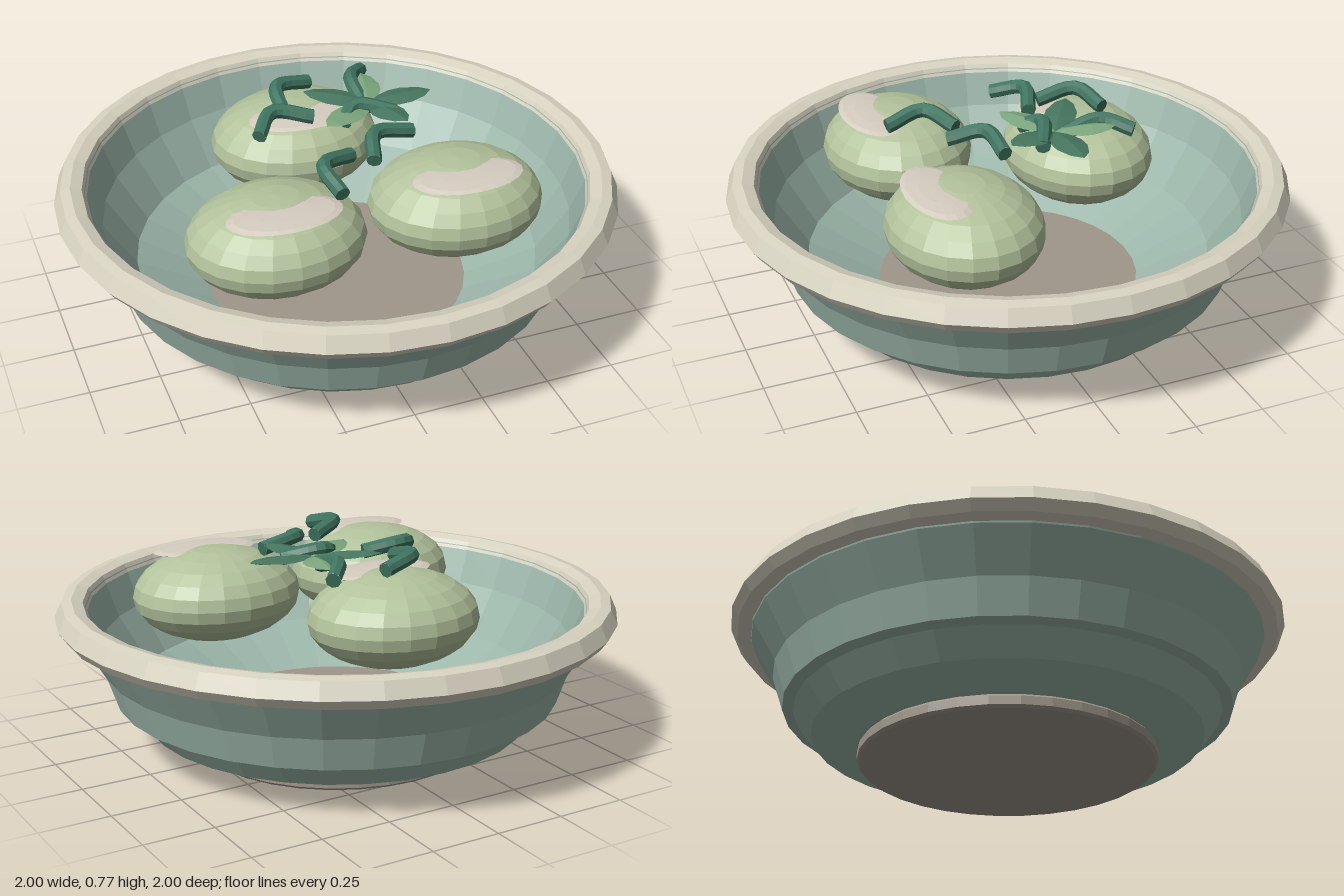
import * as THREE from 'three';

const mat = (name, color, extra = {}) => {
  const m = new THREE.MeshStandardMaterial({ color, flatShading: true, ...extra });
  m.name = name;
  return m;
};

export function createModel() {
  const group = new THREE.Group();
  const glaze = mat('celadonGlaze', 0x9db7ab);
  const cream = mat('creamRim', 0xd8d3c1);
  const clay = mat('bareClay', 0xa0978b);
  const green = mat('paleGreenFruit', 0xb3c39c);
  const bloom = mat('paleBloom', 0xd6cdc0);
  const stemGreen = mat('stemGreen', 0x3f7460);
  const leafDark = mat('darkLeaf', 0x47765f);
  const leafLight = mat('lightLeaf', 0x7ca67e);

  const add = (name, geometry, material, parent = group) => {
    const mesh = new THREE.Mesh(geometry, material);
    mesh.name = name;
    parent.add(mesh);
    return mesh;
  };
  const lathe = (pts, sides) =>
    new THREE.LatheGeometry(pts.map(([r, y]) => new THREE.Vector2(r, y)), sides);

  // Bowl: foot, stepped outer wall, rolled rim, inner wall and floor
  add('foot', lathe([[0, 0], [0.52, 0], [0.53, 0.01], [0.53, 0.04], [0.52, 0.052]], 32), clay);
  add('outerWall', lathe([[0.5, 0.045], [0.535, 0.05], [0.695, 0.095], [0.76, 0.18],
    [0.8, 0.19], [0.84, 0.31], [0.925, 0.45], [0.93, 0.47]], 32), glaze);
  add('rim', lathe([[0.915, 0.455], [0.975, 0.46], [1, 0.495], [0.975, 0.55],
    [0.94, 0.557], [0.9, 0.545], [0.885, 0.515]], 32), cream);
  add('innerWall', lathe([[0.892, 0.53], [0.84, 0.39], [0.73, 0.22], [0.47, 0.095]], 32), glaze);
  add('floorDisc', lathe([[0.475, 0.098], [0, 0.098]], 32), clay);

  // Three flattened fruits, each with a pale patch near the top
  [[-0.33, 0.305], [0.33, 0.295], [-0.055, -0.295]].forEach(([x, z]) => {
    const fruit = new THREE.Group();
    fruit.name = 'fruit';
    fruit.position.set(x, 0.522, z);
    group.add(fruit);
    add('fruitBody', new THREE.SphereGeometry(1, 20, 12).scale(0.312, 0.167, 0.267), green, fruit);
    add('fruitPatch', new THREE.SphereGeometry(1, 20, 6).scale(0.2, 0.014, 0.108), bloom, fruit)
      .position.set(0, 0.145, 0.095);
  });

  // Bent stems: start, bend and end in x, z
  const stems = [
    [-0.135, -0.17, -0.115, -0.31, 0.02, -0.355],
    [0.155, -0.15, 0.16, -0.28, 0.235, -0.375],
    [-0.27, -0.045, -0.19, -0.14, -0.05, -0.1],
    [0.045, 0.245, 0.095, 0.125, 0.24, 0.11],
    [-0.13, 0.405, -0.145, 0.265, -0.02, 0.19],
    [0.04, -0.03, 0.1, -0.085, 0.24, -0.03],
  ];
  stems.forEach(([x0, z0, x1, z1, x2, z2]) => {
    const path = new THREE.CatmullRomCurve3([
      new THREE.Vector3(x0, 0.705, z0),
      new THREE.Vector3(x1, 0.738, z1),
      new THREE.Vector3(x2, 0.712, z2),
    ]);
    const stem = add('stem', new THREE.TubeGeometry(path, 10, 0.027, 8), stemGreen);
    // End caps
    [0, 1].forEach((t) => {
      const cap = add('stemEnd', new THREE.CircleGeometry(0.027, 8), stemGreen, stem);
      cap.position.copy(path.getPointAt(t));
      const dir = path.getTangentAt(t).multiplyScalar(t ? 1 : -1);
      cap.quaternion.setFromUnitVectors(new THREE.Vector3(0, 0, 1), dir);
    });
  });

  // Five-leaf sprig: slim ridged leaves fanned around one point
  const sprig = new THREE.Group();
  sprig.name = 'leafSprig';
  sprig.position.set(0.165, 0.722, -0.107);
  group.add(sprig);
  const profile = [[0, 0], [0.032, 0.15], [0.052, 0.4], [0.052, 0.6], [0.032, 0.85], [0, 1]];
  [[0, 0.24, leafDark], [70, 0.205, leafDark], [149, 0.24, leafLight],
    [213, 0.245, leafDark], [283, 0.215, leafLight]].forEach(([deg, length, material], i) => {
    const geo = lathe(profile, 4)
      .scale(1.08, length, 0.24)
      .rotateX(Math.PI / 2)
      .rotateY(Math.PI / 2)
      .rotateZ(0.04 + 0.03 * (i % 2));
    add('leaf', geo, material, sprig).rotation.y = -THREE.MathUtils.degToRad(deg);
  });

  return group;
}
